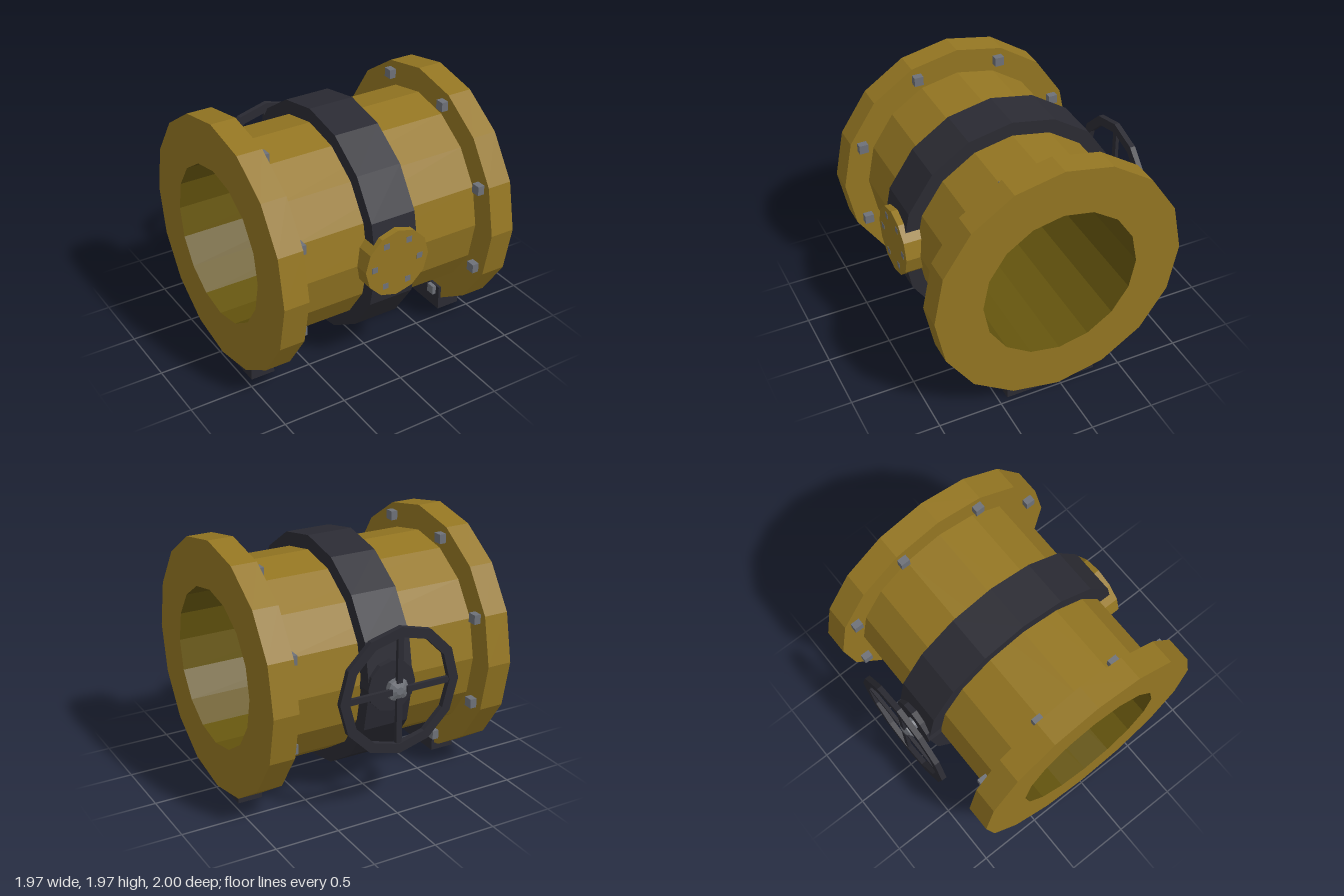
import * as THREE from 'three';

export function createModel() {
  const model = new THREE.Group();
  model.name = 'pipeValve';

  const mat = (name, color) => {
    const m = new THREE.MeshStandardMaterial({ color, flatShading: true });
    m.name = name;
    return m;
  };
  const gold = mat('ochrePaint', 0x947622);
  const olive = mat('darkOliveBore', 0x65550e);
  const dark = mat('darkIron', 0x2b2b33);
  const steel = mat('greySteel', 0x6e7178);
  const darkOpen = mat('darkIronOpen', 0x2b2b33);
  darkOpen.side = THREE.DoubleSide;

  const CY = 0.986, CZ = 0.015; // pipe axis

  const add = (name, geo, material, x, y, z, parent = model) => {
    const m = new THREE.Mesh(geo, material);
    m.name = name;
    m.position.set(x, y, z);
    parent.add(m);
    return m;
  };

  // Profile of [radius, height] points turned round an axis
  const turn = (points, sides) =>
    new THREE.LatheGeometry(points.map(p => new THREE.Vector2(...p)), sides);
  const pipePart = (name, points, material) =>
    add(name, turn(points, 16).rotateZ(-Math.PI / 2), material, 0, CY, CZ);
  // Open-bored section: the bore wall is a separate part
  const sleeve = (rIn, rOut, a, b) => [[rIn, a], [rOut, a], [rOut, b], [rIn, b]];
  // Cylinder along z
  const disc = (r, depth, sides, rBack = r) =>
    new THREE.CylinderGeometry(r, rBack, depth, sides).rotateX(Math.PI / 2);

  // Pipe body, end flanges, middle band and bore wall
  pipePart('pipeBody', [[0.787, -0.787], [0.787, 0.787]], gold);
  pipePart('rightFlange', sleeve(0.615, 0.985, -0.985, -0.787), gold);
  pipePart('leftFlange', sleeve(0.615, 0.985, 0.787, 0.985), gold);
  pipePart('middleBand', sleeve(0.78, 0.897, -0.183, 0.183), dark);
  pipePart('boreWall', [[0.615, 0.985], [0.615, -0.985]], olive);

  for (const s of [-1, 1]) {
    // Bolts on the inner flange faces
    for (let i = 0; i < 8; i++) {
      const a = (i + 0.5) * Math.PI / 4;
      add('flangeBolt', new THREE.BoxGeometry(0.06, 0.073, 0.073), steel,
        s * 0.763, CY + 0.89 * Math.sin(a), CZ + 0.89 * Math.cos(a));
    }
    // Feet, open underneath, rising into the flanges
    const foot = new THREE.BoxGeometry(0.195, 0.205, 0.735);
    const idx = Array.from(foot.index.array);
    idx.splice(18, 6); // drop the bottom face
    foot.setIndex(idx);
    foot.clearGroups();
    add('foot', foot, darkOpen, s * 0.8625, 0.1025, 0.063);
  }

  // Front inspection cover with flush bolts
  add('inspectionCover', disc(0.27, 0.193, 12), gold, 0, CY, 0.8165);
  for (let i = 0; i < 6; i++) {
    const a = i * Math.PI / 3;
    add('coverBolt', new THREE.BoxGeometry(0.048, 0.048, 0.006), steel,
      0.193 * Math.cos(a), CY + 0.193 * Math.sin(a), 0.912);
  }

  // Rear valve: housing, stem, hub and handwheel
  add('valveHousing', disc(0.197, 0.15, 12), dark, 0, CY, -0.815);
  add('valveStem', disc(0.053, 0.08, 8), steel, -0.004, CY, -0.915);
  const wheel = new THREE.Group();
  wheel.name = 'handwheel';
  wheel.position.set(-0.004, CY, 0);
  model.add(wheel);
  add('wheelHub', disc(0.088, 0.036, 8), steel, 0, 0, -0.955, wheel);
  add('hubCap', disc(0.088, 0.022, 8, 0.03), steel, 0, 0, -0.984, wheel);
  const rim = turn([...sleeve(0.415, 0.491, -0.021, 0.021), [0.415, -0.021]], 12);
  add('wheelRim', rim.rotateX(Math.PI / 2), dark, 0, 0, -0.979, wheel);
  for (let i = 0; i < 4; i++) {
    const a = i * Math.PI / 2;
    const spoke = add('wheelSpoke', new THREE.BoxGeometry(0.37, 0.046, 0.028), dark,
      0.245 * Math.cos(a), 0.245 * Math.sin(a), -0.979, wheel);
    spoke.rotation.z = a;
  }

  return model;
}
